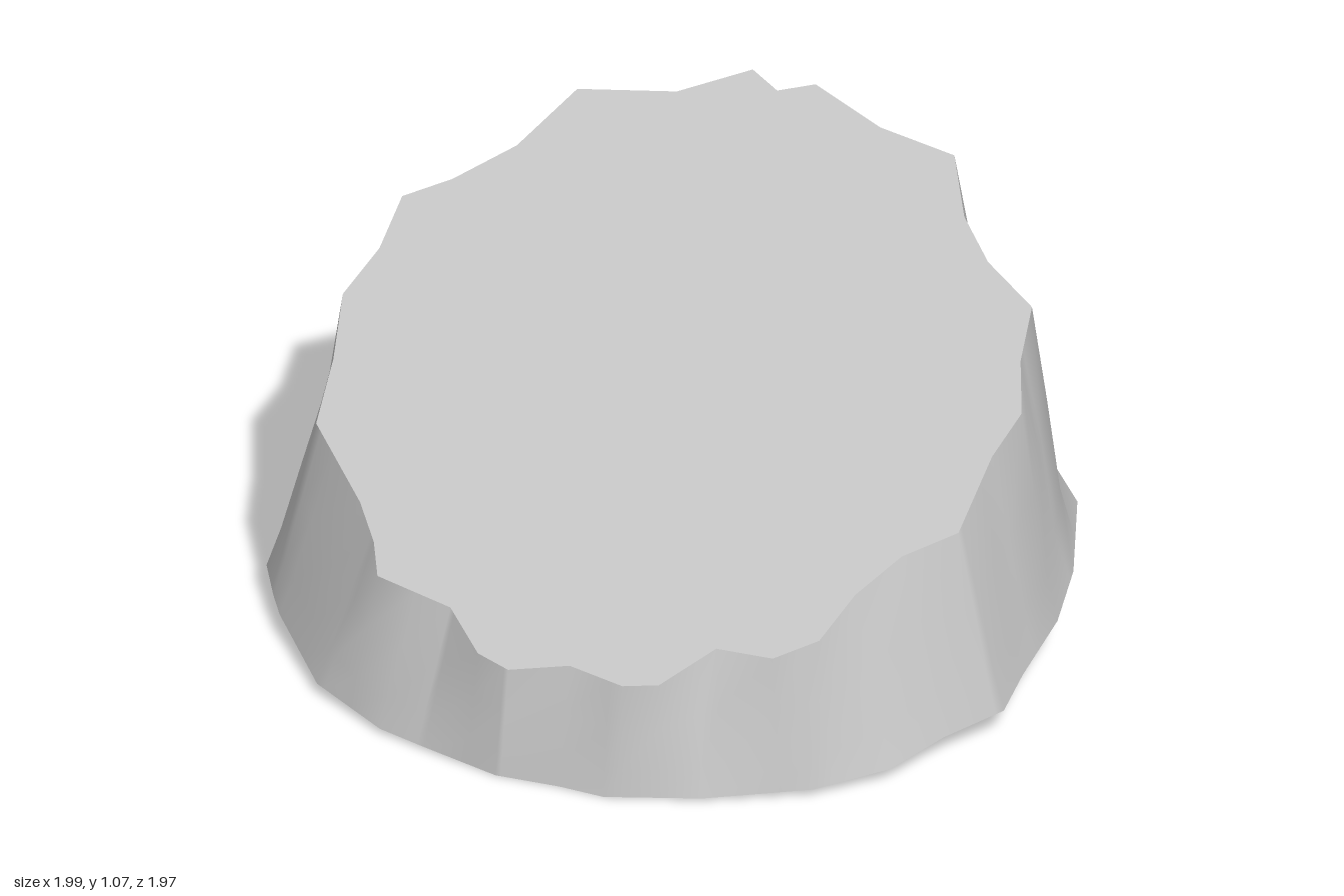
import * as THREE from 'three';

// Outlines as x, z pairs, from the back round the left side to the front and on
const TOP = [0, -0.75, 0.09, -0.785, 0.29, -0.7, 0.5, -0.66, 0.58, -0.5, 0.68, -0.39, 0.83, -0.29, 0.85, -0.14,
  0.9, 0, 0.865, 0.13, 0.85, 0.35, 0.73, 0.44, 0.65, 0.56, 0.6, 0.705, 0.5, 0.775, 0.35, 0.775, 0.24, 0.9,
  0.15, 0.92, 0, 0.89, -0.15, 0.93, -0.24, 0.9, -0.35, 0.79, -0.56, 0.74, -0.6, 0.65, -0.67, 0.55, -0.85, 0.36,
  -0.865, 0.18, -0.9, 0, -0.85, -0.14, -0.84, -0.29, -0.73, -0.36, -0.6, -0.48, -0.5, -0.66, -0.25, -0.7, -0.08, -0.795];
const BASE = [0, -0.945, 0.18, -0.99, 0.35, -0.85, 0.57, -0.85, 0.71, -0.63, 0.89, -0.47, 0.97, -0.2, 0.995, 0,
  0.98, 0.23, 0.98, 0.38, 0.87, 0.52, 0.78, 0.68, 0.62, 0.81, 0.36, 0.92, 0.12, 0.98, 0, 0.97, -0.17, 0.97,
  -0.38, 0.91, -0.51, 0.87, -0.72, 0.74, -0.9, 0.5, -0.94, 0.43, -0.995, 0.32, -0.995, 0, -0.97, -0.25,
  -0.89, -0.47, -0.61, -0.825, -0.37, -0.85, -0.19, -0.99];

const toPoints = (a) => Array.from({ length: a.length / 2 }, (_, i) => [a[2 * i], a[2 * i + 1]]);

// Distance from the centre to the outline in direction angle
function radiusAt(points, angle) {
  const dx = Math.sin(angle), dz = Math.cos(angle);
  let best = 0;
  points.forEach(([px, pz], i) => {
    const [qx, qz] = points[(i + 1) % points.length];
    const ex = qx - px, ez = qz - pz, det = dx * ez - dz * ex;
    if (Math.abs(det) < 1e-9) return;
    const r = (px * ez - pz * ex) / det;
    const s = (px * dz - pz * dx) / det;
    if (r > 0 && s >= -1e-6 && s <= 1 + 1e-6) best = Math.max(best, r);
  });
  return best;
}

function surface(positions, indices) {
  const g = new THREE.BufferGeometry();
  g.setAttribute('position', new THREE.Float32BufferAttribute(positions, 3));
  g.setIndex(indices);
  g.computeVertexNormals();
  return g;
}

export function createModel() {
  const model = new THREE.Group();
  model.name = 'slantedDrum';
  const grey = new THREE.MeshStandardMaterial({ color: 0xc4c4c4 });
  grey.name = 'grey';

  const top = toPoints(TOP), base = toPoints(BASE);
  const topY = (z) => 0.714 - 0.451 * z;
  const baseY = (z) => 0.12 - 0.121 * z;

  // Shared directions keep the corners of both outlines
  const angles = [...top, ...base].map(([x, z]) => Math.atan2(x, z)).sort((a, b) => a - b)
    .filter((a, i, all) => i === 0 || a - all[i - 1] > 0.008);
  const n = angles.length;
  const ring = (points, heightAt) => angles.map((a) => {
    const r = radiusAt(points, a);
    const x = r * Math.sin(a), z = r * Math.cos(a);
    return new THREE.Vector3(x, heightAt(z), z);
  });
  const upper = ring(top, topY), lower = ring(base, baseY);

  // Wall rings: the foot flares out more towards the back
  const rings = [0, 0.22, 0.6, 1].map((t) => lower.map((p, i) => {
    const back = (1 - Math.cos(angles[i])) / 2;
    const inward = t + (t === 0.22 ? 0.3 : t === 0.6 ? 0.12 : 0) * back * back;
    const q = p.clone().lerp(upper[i], inward);
    q.y = THREE.MathUtils.lerp(p.y, upper[i].y, t);
    return q;
  }));
  const wallIndex = [];
  for (let k = 0; k < rings.length - 1; k++) {
    for (let i = 0; i < n; i++) {
      const j = (i + 1) % n, a = k * n, b = a + n;
      wallIndex.push(a + i, a + j, b + j, a + i, b + j, b + i);
    }
  }
  const wall = new THREE.Mesh(surface(rings.flat().flatMap((p) => p.toArray()), wallIndex), grey);
  wall.name = 'wall';
  model.add(wall);

  // Flat tilted faces closing both ends
  const addCap = (name, points, y, up) => {
    const index = [];
    for (let i = 0; i < n; i++) {
      const j = (i + 1) % n;
      index.push(n, up ? i : j, up ? j : i);
    }
    const cap = new THREE.Mesh(surface([...points.flatMap((p) => p.toArray()), 0, y, 0], index), grey);
    cap.name = name;
    model.add(cap);
  };
  addCap('topFace', upper, topY(0), true);
  addCap('bottomFace', lower, baseY(0), false);
  return model;
}
